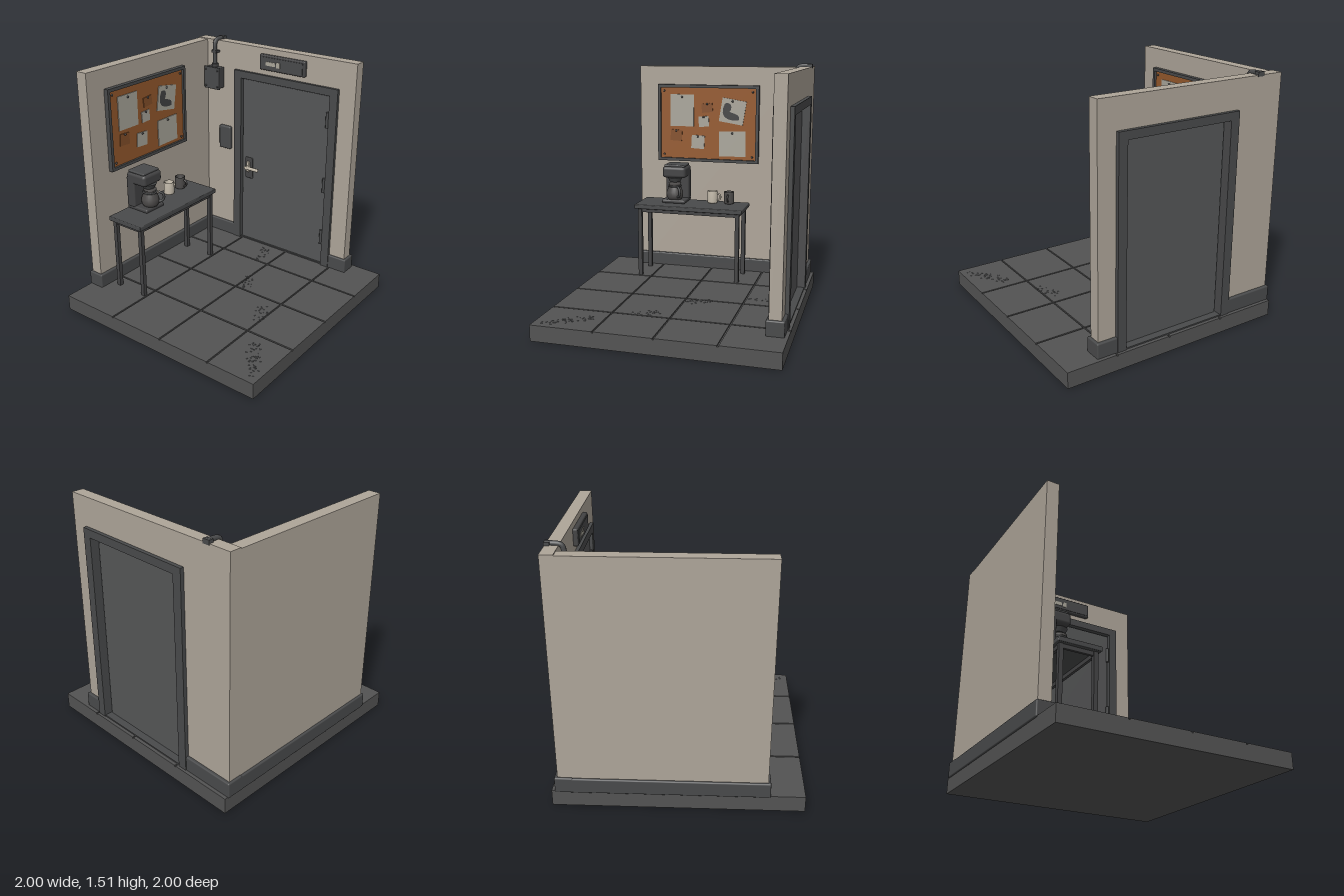
import * as THREE from 'three';
import { RoundedBoxGeometry } from 'three/addons/geometries/RoundedBoxGeometry.js';

const paint = (name, color, side = THREE.FrontSide) =>
  Object.assign(new THREE.MeshStandardMaterial({ color, side }), { name });

export function createModel() {
  const wallPaint = paint('wall paint', 0xaea599);
  const tile = paint('floor tile', 0x535353);
  const trim = paint('dark trim', 0x494a4b);
  const doorPaint = paint('door paint', 0x555657);
  const cork = paint('cork', 0x95592c);
  const brownNote = paint('brown note', 0x85502a);
  const paper = paint('paper', 0xaaa69b);
  const black = paint('black plastic', 0x434344);
  const cream = paint('cream', 0xc4bbab, THREE.DoubleSide);
  const ceramic = paint('dark ceramic', 0x4c4a49, THREE.DoubleSide);

  const model = new THREE.Group();
  model.name = 'breakRoomCorner';
  // The whole room is turned on its stand
  const room = new THREE.Group();
  room.name = 'room';
  room.rotation.y = THREE.MathUtils.degToRad(40);
  model.add(room);

  const add = (name, geometry, material, x = 0, y = 0, z = 0, parent = room) => {
    const mesh = new THREE.Mesh(geometry, material);
    mesh.name = name;
    mesh.position.set(x, y, z);
    parent.add(mesh);
    return mesh;
  };
  // Box given by its limits on each axis, optionally with rounded edges
  const box = (name, material, x0, x1, y0, y1, z0, z1, r = 0) => {
    const s = [x1 - x0, y1 - y0, z1 - z0];
    const g = r ? new RoundedBoxGeometry(...s, 2, r) : new THREE.BoxGeometry(...s);
    return add(name, g, material, (x0 + x1) / 2, (y0 + y1) / 2, (z0 + z1) / 2);
  };
  // Upright slab standing along z, drawn as (z, y) points and given thickness along x
  const sideSlab = (name, material, points, x0, x1) => {
    const shape = new THREE.Shape(points.map(p => new THREE.Vector2(...p)));
    const g = new THREE.ExtrudeGeometry(shape, { depth: x1 - x0, bevelEnabled: false });
    const mesh = add(name, g, material, x1);
    mesh.rotation.y = -Math.PI / 2;
    return mesh;
  };

  // Floor: slab with a grid of tiles and open grooves
  const S = 0.71, floorY = 0.096;
  box('floorSlab', tile, -S, S, 0, 0.088, -S, S);
  const cutsX = [-S, -0.335, 0.015, 0.37, S], cutsZ = [-S, -0.32, 0.05, 0.4, S];
  for (let i = 0; i < 4; i++) for (let j = 0; j < 4; j++) {
    const a = i ? 0.005 : 0, b = i < 3 ? 0.005 : 0, c = j ? 0.005 : 0, d = j < 3 ? 0.005 : 0;
    box('floorTile', tile, cutsX[i] + a, cutsX[i + 1] - b, 0.085, floorY, cutsZ[j] + c, cutsZ[j + 1] - d);
  }

  // Walls; the right one is cut out for the door
  box('backWall', wallPaint, -0.5, 0.602, 0.09, 1.485, -0.705, -0.63);
  sideSlab('rightWall', wallPaint, [[-0.705, 0.09], [-0.36, 0.09], [-0.36, 1.29], [0.36, 1.29],
    [0.36, 0.09], [0.5, 0.09], [0.5, 1.49], [-0.705, 1.49]], 0.6, 0.672);

  // Baseboards wrap both faces of each wall
  box('backBaseboard', trim, -0.515, 0.6, 0.09, 0.182, -0.718, -0.612, 0.008);
  box('rightBaseboardRear', trim, 0.585, 0.69, 0.09, 0.185, -0.718, -0.37, 0.008);
  box('rightBaseboardFront', trim, 0.585, 0.69, 0.09, 0.185, 0.37, 0.515, 0.008);

  // Door frame, door and threshold
  sideSlab('doorFrame', trim, [[-0.392, 0.09], [-0.335, 0.09], [-0.335, 1.27], [0.335, 1.27],
    [0.335, 0.09], [0.39, 0.09], [0.39, 1.318], [-0.392, 1.318]], 0.58, 0.695);
  box('door', doorPaint, 0.6, 0.645, 0.105, 1.262, -0.328, 0.328);
  box('threshold', trim, 0.59, 0.69, 0.09, 0.104, -0.335, 0.335);
  for (const y of [0.3, 0.67, 1.11])
    add('hinge', new THREE.CylinderGeometry(0.01, 0.01, 0.1, 10), trim, 0.59, y, 0.322);
  box('handlePlate', black, 0.588, 0.602, 0.57, 0.72, -0.3, -0.24, 0.006);
  const spindle = add('handleSpindle', new THREE.CylinderGeometry(0.014, 0.014, 0.04, 12), cream, 0.575, 0.655, -0.27);
  spindle.rotation.z = Math.PI / 2;
  box('handleLever', cream, 0.552, 0.57, 0.643, 0.665, -0.29, -0.175, 0.008);
  box('handleCatch', cream, 0.575, 0.59, 0.62, 0.695, -0.284, -0.26, 0.005);

  // Fixtures on the right wall: sign above the door and switch panel beside it
  box('signBox', black, 0.572, 0.602, 1.355, 1.455, -0.185, 0.155, 0.008);
  box('signPanel', trim, 0.568, 0.575, 1.368, 1.442, -0.17, 0.14);
  box('signMark', paper, 0.564, 0.57, 1.39, 1.415, -0.13, -0.06);
  box('signMark', paper, 0.564, 0.57, 1.385, 1.42, -0.05, -0.025);
  box('switchPanel', trim, 0.572, 0.602, 0.75, 0.912, -0.515, -0.42, 0.01);

  // Junction box with conduit bending over the wall top
  box('junctionBox', black, 0.545, 0.602, 1.175, 1.315, -0.605, -0.49, 0.006);
  box('junctionLid', trim, 0.535, 0.547, 1.17, 1.32, -0.61, -0.485, 0.004);
  for (const y of [1.19, 1.3]) for (const z of [-0.595, -0.5])
    add('lidScrew', new THREE.SphereGeometry(0.006, 8, 6), black, 0.535, y, z);
  const conduitPath = new THREE.CatmullRomCurve3([[0.577, 1.3], [0.577, 1.4], [0.577, 1.46], [0.588, 1.49],
    [0.62, 1.497], [0.668, 1.497]].map(([x, y]) => new THREE.Vector3(x, y, -0.55)));
  add('conduit', new THREE.TubeGeometry(conduitPath, 24, 0.014, 10), trim);
  add('conduitCollar', new THREE.CylinderGeometry(0.022, 0.022, 0.025, 12), black, 0.577, 1.325, -0.55);
  box('conduitClamp', black, 0.565, 0.605, 1.41, 1.425, -0.572, -0.528);
  box('conduitEnd', trim, 0.645, 0.675, 1.482, 1.508, -0.572, -0.53);

  // Notice board: cork, frame rails, notes and pins
  box('corkBoard', cork, -0.36, 0.32, 0.855, 1.355, -0.632, -0.614);
  for (const [y0, y1] of [[0.845, 0.865], [1.343, 1.363]])
    box('boardRail', trim, -0.368, 0.328, y0, y1, -0.632, -0.6);
  for (const [x0, x1] of [[-0.368, -0.348], [0.308, 0.328]])
    box('boardStile', trim, x0, x1, 0.845, 1.363, -0.632, -0.6);
  // Each note: material, centre x, centre y, width, height, tilt
  const notes = [
    [paper, -0.2, 1.19, 0.165, 0.215, 0], [paper, 0.15, 1.19, 0.165, 0.16, -0.16],
    [paper, 0.15, 0.972, 0.18, 0.17, 0.02], [paper, -0.048, 1.118, 0.07, 0.07, 0.06],
    [paper, -0.088, 0.978, 0.09, 0.09, -0.05], [brownNote, -0.025, 1.21, 0.075, 0.06, 0.1],
    [brownNote, -0.24, 1.02, 0.08, 0.075, -0.06],
  ];
  for (const [m, x, y, w, h, tilt] of notes) {
    add('note', new THREE.BoxGeometry(w, h, 0.006), m, x, y, -0.612).rotation.z = tilt;
    add('pin', new THREE.SphereGeometry(0.007, 8, 6), black, x, y + h * 0.42, -0.606);
  }
  for (const x of [-0.325, 0.285]) for (const y of [0.888, 1.32])
    add('pin', new THREE.SphereGeometry(0.007, 8, 6), black, x, y, -0.61);
  // Dark blot printed on the tilted note
  const blot = new THREE.Shape();
  blot.moveTo(-0.055, 0.05);
  blot.bezierCurveTo(-0.01, 0.07, 0.0, 0.03, -0.015, 0.0);
  blot.bezierCurveTo(0.02, -0.01, 0.06, 0.0, 0.055, -0.045);
  blot.bezierCurveTo(0.0, -0.06, -0.09, -0.06, -0.055, 0.05);
  add('notePrint', new THREE.ShapeGeometry(blot), black, 0.145, 1.185, -0.6075).rotation.z = -0.16;

  // Table
  const tx0 = -0.446, tx1 = 0.28, tz0 = -0.578, tz1 = -0.315, leg = 0.026;
  box('tableTop', trim, tx0, tx1, 0.556, 0.585, tz0, tz1, 0.005);
  for (const x of [tx0 + 0.02, tx1 - 0.02 - leg]) {
    for (const z of [tz0 + 0.015, tz1 - 0.015 - leg])
      box('tableLeg', black, x, x + leg, floorY, 0.557, z, z + leg);
    box('tableEndRail', black, x + 0.005, x + 0.021, 0.532, 0.557, tz0 + 0.03, tz1 - 0.03);
  }
  for (const z of [tz0 + 0.02, tz1 - 0.036])
    box('tableLongRail', black, tx0 + 0.03, tx1 - 0.03, 0.532, 0.557, z, z + 0.016);

  // Coffee maker
  box('makerBase', black, -0.285, -0.125, 0.585, 0.61, -0.575, -0.41, 0.01);
  box('makerColumn', black, -0.285, -0.125, 0.6, 0.8, -0.575, -0.51, 0.01);
  box('makerHead', black, -0.285, -0.125, 0.755, 0.83, -0.575, -0.42, 0.02);
  box('makerLid', trim, -0.275, -0.135, 0.826, 0.842, -0.565, -0.435, 0.007);
  const lathe = (pts, n = 24) => new THREE.LatheGeometry(pts.map(p => new THREE.Vector2(...p)), n);
  add('carafe', lathe([[0, 0], [0.045, 0], [0.055, 0.02], [0.055, 0.05], [0.04, 0.085], [0.036, 0.1],
    [0.042, 0.11], [0, 0.115]]), ceramic, -0.205, 0.61, -0.452);
  add('carafeBand', new THREE.TorusGeometry(0.041, 0.006, 8, 24), trim, -0.205, 0.7, -0.452).rotation.x = Math.PI / 2;
  add('filterCone', new THREE.CylinderGeometry(0.05, 0.035, 0.03, 20), trim, -0.205, 0.742, -0.46);
  const carafeHandle = add('carafeHandle', new THREE.TorusGeometry(0.032, 0.008, 8, 16, Math.PI), trim, -0.172, 0.665, -0.41);
  carafeHandle.rotation.set(0, -0.9, -Math.PI / 2);

  // Mugs
  const mug = (name, material, x, z, turn) => {
    const g = new THREE.Group();
    g.name = name;
    g.position.set(x, 0.585, z);
    g.rotation.y = turn;
    room.add(g);
    add('mugCup', lathe([[0, 0], [0.031, 0], [0.034, 0.006], [0.034, 0.08], [0.028, 0.08], [0.028, 0.012], [0, 0.012]]),
      material, 0, 0, 0, g);
    add('mugHandle', new THREE.TorusGeometry(0.022, 0.006, 8, 16, Math.PI), material, 0.033, 0.041, 0, g)
      .rotation.z = -Math.PI / 2;
  };
  mug('creamMug', cream, 0.04, -0.515, 0);
  mug('darkMug', ceramic, 0.153, -0.517, -Math.PI / 2);

  // Trail of speckled shoe prints from the door towards the front corner
  let seed = 7;
  const rnd = () => (seed = (seed * 16807) % 2147483647) / 2147483647;
  const prints = [[0.32, -0.35], [0.13, 0], [0.12, 0.36], [-0.02, 0.72], [-0.05, 0.86]];
  const c = Math.cos(room.rotation.y), s = Math.sin(room.rotation.y);
  for (const [wx, wz] of prints) for (let i = 0; i < 22; i++) {
    const a = rnd() * Math.PI * 2, r = Math.sqrt(rnd());
    const x = wx + Math.cos(a) * r * 0.045 - Math.sin(a) * r * 0.04, z = wz + Math.sin(a) * r * 0.09;
    add('shoePrintSpeck', new THREE.CylinderGeometry(0.005, 0.006, 0.002, 6), trim,
      x * c - z * s, floorY + 0.001, x * s + z * c);
  }
  return model;
}
